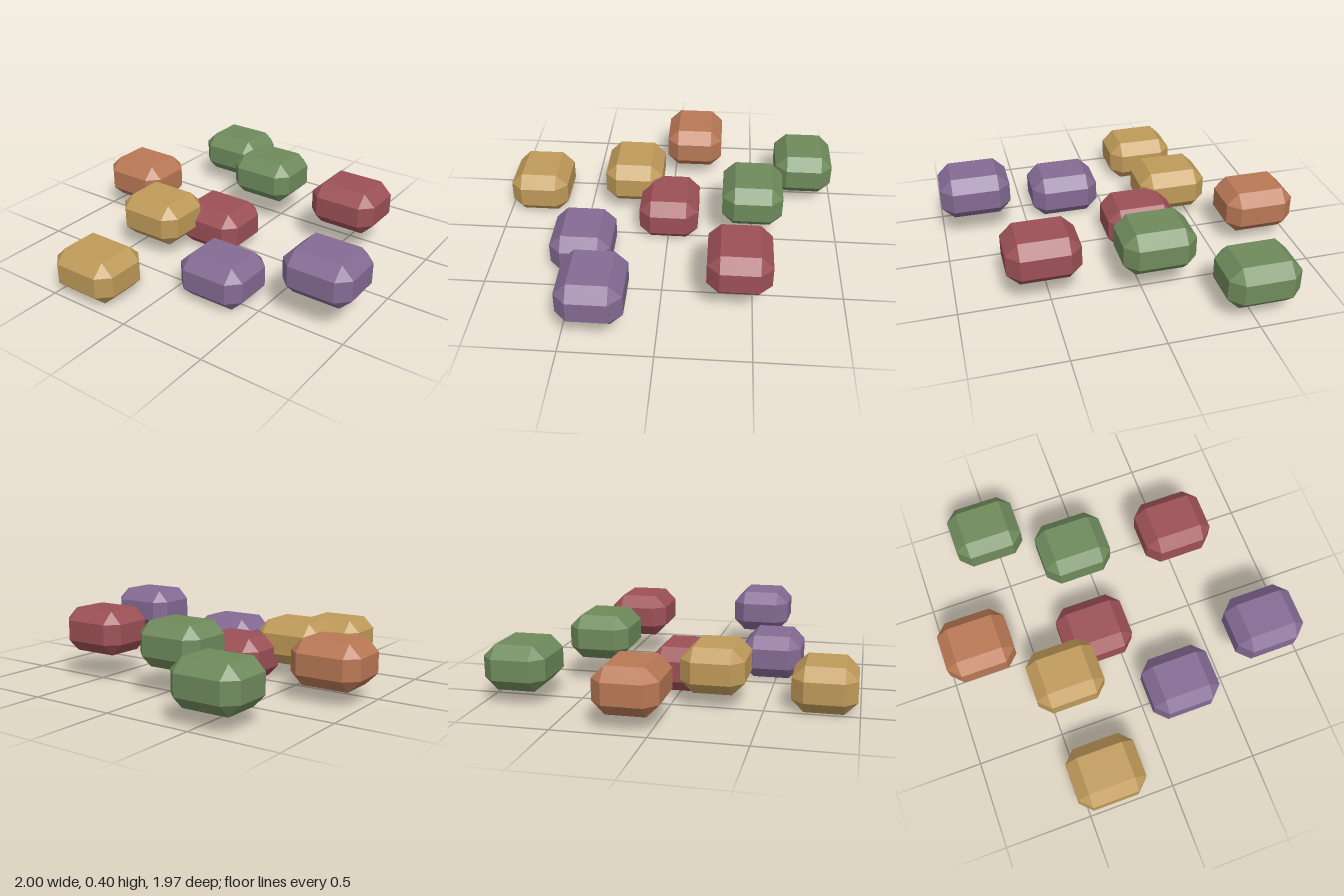
import * as THREE from 'three';
import { ConvexGeometry } from 'three/addons/geometries/ConvexGeometry.js';

// Box with every edge bevelled and every corner cut to a triangle
function chamferedBox(w, h, d, c) {
  const points = [];
  for (const sx of [-1, 1]) for (const sy of [-1, 1]) for (const sz of [-1, 1]) {
    const x = w / 2, y = h / 2, z = d / 2;
    points.push(
      new THREE.Vector3(sx * x, sy * (y - c), sz * (z - c)),
      new THREE.Vector3(sx * (x - c), sy * y, sz * (z - c)),
      new THREE.Vector3(sx * (x - c), sy * (y - c), sz * z));
  }
  return new ConvexGeometry(points);
}

export function createModel() {
  const group = new THREE.Group();
  group.name = 'scatteredBlocks';

  const colours = { green: 0x6f8b5c, red: 0x9c5056, orange: 0xb97855, gold: 0xbf9a59, purple: 0x846a93 };
  const materials = {};
  for (const [name, color] of Object.entries(colours)) {
    materials[name] = new THREE.MeshStandardMaterial({ color, flatShading: true });
    materials[name].name = name;
  }

  const height = 0.252;
  const geometry = chamferedBox(0.403, height, 0.346, 0.068);

  // Colour, x, underside height, z
  const blocks = [
    ['green', -0.54, 0.077, -0.812],
    ['green', -0.078, 0.15, -0.49],
    ['red', 0.53, 0.15, -0.42],
    ['orange', -0.799, 0.077, -0.124],
    ['red', -0.12, 0, -0.003],
    ['gold', -0.375, 0.077, 0.227],
    ['purple', 0.243, 0, 0.468],
    ['purple', 0.799, 0.15, 0.33],
    ['gold', -0.34, 0, 0.812],
  ];
  const count = {};
  for (const [name, x, y, z] of blocks) {
    const block = new THREE.Mesh(geometry, materials[name]);
    count[name] = (count[name] || 0) + 1;
    block.name = `${name}Block${count[name]}`;
    block.position.set(x, y + height / 2, z);
    group.add(block);
  }
  return group;
}
